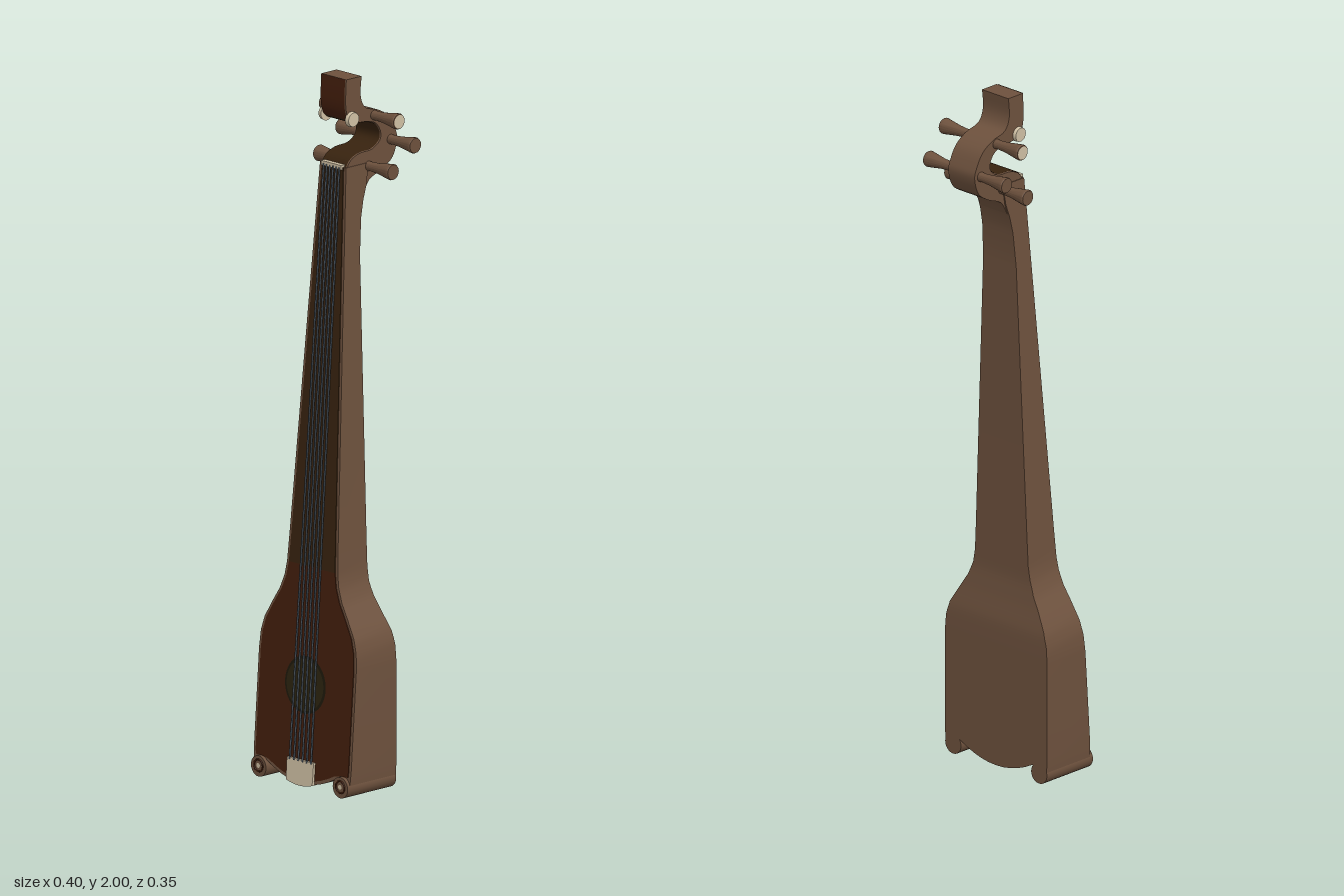
import * as THREE from 'three';
import { toCreasedNormals } from 'three/addons/utils/BufferGeometryUtils.js';

const mat = (name, color, side = THREE.FrontSide) => {
  const m = new THREE.MeshStandardMaterial({ color, side });
  m.name = name;
  return m;
};

// Piecewise linear lookup in [y, value] pairs
function lookup(table, y) {
  for (let i = 1; i < table.length; i++) {
    const [y0, v0] = table[i - 1], [y1, v1] = table[i];
    if (y <= y1) return v0 + (v1 - v0) * (y - y0) / (y1 - y0);
  }
  return table[table.length - 1][1];
}

const WIDTH = [[0, 0.19], [0.04, 0.194], [0.36, 0.194], [0.41, 0.19], [0.45, 0.178], [0.5, 0.149],
  [0.54, 0.124], [0.58, 0.108], [0.62, 0.101], [0.7, 0.097], [1.75, 0.052]];
const BACK = [[0, -0.018], [0.38, -0.021], [0.44, -0.02], [0.5, -0.009], [0.57, 0], [0.7, -0.002],
  [1.5, -0.016], [1.6, -0.025], [1.65, -0.036], [1.69, -0.05], [1.75, -0.06]];
const ROWS = [0.012, 0.08, 0.2, 0.36, 0.385, 0.41, 0.43, 0.45, 0.475, 0.5, 0.52, 0.54, 0.56, 0.58, 0.6,
  0.62, 0.66, 0.7, 1, 1.3, 1.5, 1.55, 1.6, 1.625, 1.65, 1.67, 1.69, 1.72, 1.75];
const front = (y) => 0.158 - 0.077 * (y - 0.02);
const back = (y) => lookup(BACK, y);

// A box whose rows follow the outline of the body
function slab(rows, half, zBack, zFront, arch = 0) {
  const n = rows.length - 1;
  const g = new THREE.BoxGeometry(1, 1, 1, 14, n, 1);
  const p = g.attributes.position;
  for (let i = 0; i < p.count; i++) {
    const r = Math.round((p.getY(i) + 0.5) * n);
    let y = rows[r];
    const x = p.getX(i) * 2 * half(y);
    // Bowed lower edge, with the outer walls running down to the corner scrolls
    if (r === 0) y = Math.abs(x) > 0.185 ? 0.034 : y + arch * Math.min(1, (x / 0.14) ** 2);
    p.setXYZ(i, x, y, p.getZ(i) > 0 ? zFront(y) : zBack(y));
  }
  g.computeVertexNormals();
  return g;
}

export function createModel() {
  const wood = mat('brown wood', 0x6d513d);
  const face = mat('dark red-brown wood', 0x431e0c, THREE.DoubleSide);
  const board = mat('dark neck wood', 0x38230f, THREE.DoubleSide);
  const ring = mat('rosette rim', 0x1f190b);
  const hole = mat('olive sound hole', 0x2c2410);
  const cream = mat('cream bone', 0xcfc0a4);
  const steel = mat('blue-grey steel', 0x434d57);

  const model = new THREE.Group();
  model.name = 'lute';
  const lute = new THREE.Group();
  lute.name = 'instrument';
  lute.rotation.set(0, 0.04, 0.008);
  model.add(lute);
  const add = (name, geo, material, x = 0, y = 0, z = 0) => {
    const m = new THREE.Mesh(geo, material);
    m.name = name;
    m.position.set(x, y, z);
    lute.add(m);
    return m;
  };

  // Body and neck in one piece
  add('body', slab(ROWS, (y) => lookup(WIDTH, y), back, front, 0.04), wood);

  // Front panels, inset to leave a rim
  const inset = (y) => lookup(WIDTH, y) - 0.009;
  const plate = (name, material, rows, arch) =>
    add(name, slab(rows, inset, (y) => front(y) - 0.001, (y) => front(y) + 0.002, arch), material);
  plate('soundboard', face, [0.022, ...ROWS.filter((y) => y > 0.05 && y <= 0.62)], 0.04);
  plate('neckFace', board, ROWS.filter((y) => y >= 0.62), 0);

  // Sound hole lies on the sloping front
  const slope = -Math.atan(0.077);
  for (const [name, r, m, lift] of [['rosette', 0.081, ring, 0.004], ['soundHole', 0.073, hole, 0.0055]]) {
    add(name, new THREE.CircleGeometry(r, 40), m, 0, 0.29, front(0.29) + lift).rotation.x = slope;
  }

  // Scrolled lower corners
  for (const s of [-1, 1]) {
    const foot = new THREE.CylinderGeometry(0.03, 0.03, 0.184, 24).rotateX(Math.PI / 2);
    add('cornerScroll', foot, wood, s * 0.163, 0.032, 0.074);
    add('scrollRing', new THREE.TorusGeometry(0.017, 0.0025, 8, 24), face, s * 0.163, 0.034, 0.166);
    add('scrollStud', new THREE.CircleGeometry(0.007, 16), cream, s * 0.163, 0.034, 0.1675);
  }

  // Tailpiece with a bowed lower edge, and the nut
  add('tailpiece', slab([0.008, 0.045, 0.08], (y) => 0.053 - 0.05 * Math.max(0, 0.03 - y),
    (y) => front(y) - 0.02, (y) => front(y) + 0.009, 0.06), cream);
  add('nut', new THREE.BoxGeometry(0.08, 0.013, 0.014), cream, 0, 1.75, 0.025);

  // Strings
  for (let i = 0; i < 6; i++) {
    const t = i / 5 - 0.5;
    const path = new THREE.LineCurve3(new THREE.Vector3(t * 0.085, 0.075, front(0.075) + 0.008),
      new THREE.Vector3(t * 0.062, 1.75, front(1.75) + 0.006));
    add('string', new THREE.TubeGeometry(path, 1, 0.003, 6), steel);
  }

  // Hooked head: side profile as [z, y], front edge then rear edge
  const toPoints = (a) => a.map(([z, y]) => new THREE.Vector2(z, y));
  const inner = new THREE.SplineCurve(toPoints([[0.024, 1.74], [0.005, 1.768], [-0.03, 1.782],
    [-0.075, 1.785], [-0.106, 1.805], [-0.108, 1.832], [-0.088, 1.858], [-0.05, 1.868],
    [-0.01, 1.872], [0.014, 1.89], [0.023, 1.93], [0.02, 2]]));
  const outer = new THREE.SplineCurve(toPoints([[-0.038, 2], [-0.034, 1.945], [-0.052, 1.908],
    [-0.1, 1.893], [-0.14, 1.868], [-0.163, 1.83], [-0.171, 1.798], [-0.155, 1.75],
    [-0.115, 1.722], [-0.065, 1.7], [-0.04, 1.66]]));
  const profile = new THREE.Shape([...inner.getPoints(44), ...outer.getPoints(40),
    new THREE.Vector2(0.02, 1.66)]);
  const head = new THREE.ExtrudeGeometry(profile, { depth: 0.1, bevelEnabled: false });
  head.rotateY(-Math.PI / 2).translate(0.05, 0, 0);
  add('head', toCreasedNormals(head, 0.6), wood);

  // Dark veneer along the front of the head, from t0 to t1 of its inner edge
  const veneer = (name, material, t0, t1) => {
    const g = new THREE.PlaneGeometry(0.094, 1, 1, 32);
    const p = g.attributes.position;
    for (let i = 0; i < p.count; i++) {
      const t = t0 + (t1 - t0) * Math.min(1, Math.max(0, p.getY(i) + 0.5));
      const c = inner.getPoint(t), d = inner.getTangent(t);
      p.setY(i, c.y - d.x * 0.002);
      p.setZ(i, c.x + d.y * 0.002);
    }
    g.computeVertexNormals();
    add(name, g, material);
  };
  veneer('hookVeneer', board, 0, 0.8);
  veneer('headVeneer', face, 0.8, 1);

  // Flared tuning pegs on both sides, and bone bosses at the bend
  const pegProfile = toPoints([[0, 0], [0.014, 0], [0.013, 0.015], [0.015, 0.045],
    [0.022, 0.09], [0.023, 0.097], [0.021, 0.101], [0, 0.101]]);
  for (const s of [-1, 1]) {
    for (const [y, z] of [[1.88, -0.085], [1.8, -0.147], [1.74, -0.062]]) {
      const peg = toCreasedNormals(new THREE.LatheGeometry(pegProfile, 20), 0.6);
      add('tuningPeg', peg, wood, s * 0.048, y, z).rotation.z = -s * Math.PI / 2;
    }
    const cap = new THREE.CircleGeometry(0.019, 20).rotateY(s * Math.PI / 2);
    add('pegCap', cap, cream, s * 0.1505, 1.88, -0.085);
    const boss = new THREE.CylinderGeometry(0.02, 0.022, 0.012, 20).rotateZ(-s * Math.PI / 2);
    add('headBoss', boss, cream, s * 0.054, 1.885, 0.002);
  }
  return model;
}
